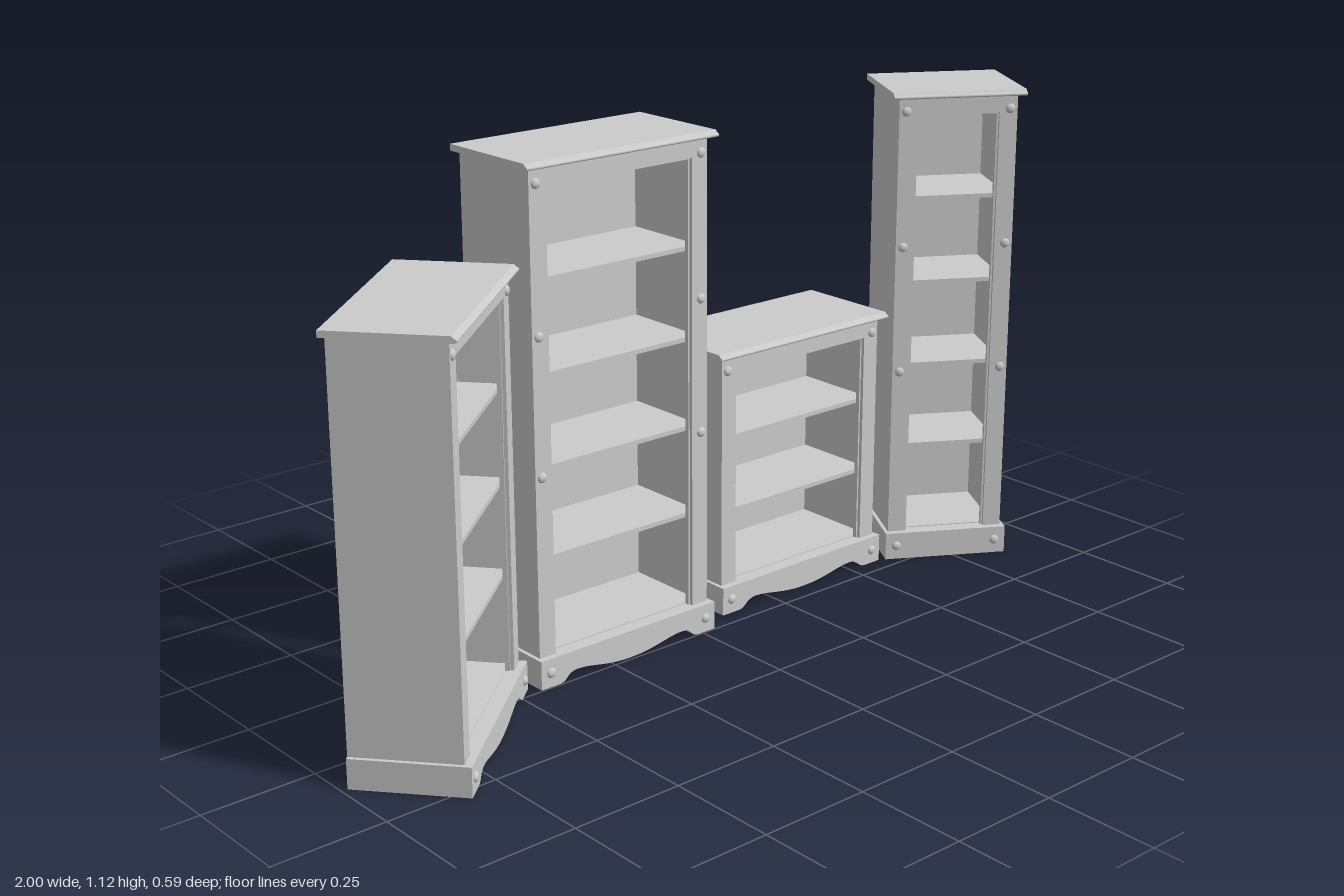
import * as THREE from 'three';

const material = new THREE.MeshStandardMaterial({ color: 0xcccccc });

function add(parent, name, geometry, x = 0, y = 0, z = 0) {
  const mesh = new THREE.Mesh(geometry, material);
  mesh.name = name;
  mesh.position.set(x, y, z);
  parent.add(mesh);
  return mesh;
}

// Box given by its minimum and maximum corners
function slab(parent, name, [x0, y0, z0], [x1, y1, z1]) {
  return add(parent, name, new THREE.BoxGeometry(x1 - x0, y1 - y0, z1 - z0),
    (x0 + x1) / 2, (y0 + y1) / 2, (z0 + z1) / 2);
}

const extrude = (shape, depth) =>
  new THREE.ExtrudeGeometry(shape, { depth, bevelEnabled: false, curveSegments: 8 });

// Two stiles joined by a top rail
function archShape(outer, inner, bottom, railBottom, top) {
  return new THREE.Shape([
    [-outer, bottom], [-inner, bottom], [-inner, railBottom], [inner, railBottom],
    [inner, bottom], [outer, bottom], [outer, top], [-outer, top],
  ].map(([x, y]) => new THREE.Vector2(x, y)));
}

// Plinth front, either straight or with two mirrored waves
function apronShape(half, height, wavy) {
  const s = new THREE.Shape();
  s.moveTo(-half, 0);
  if (wavy) {
    const start = half - 0.05, peak = half * 0.6;
    s.lineTo(-start, 0);
    s.bezierCurveTo(-start + 0.02, 0.002, -peak - 0.03, 0.021, -peak, 0.021);
    s.bezierCurveTo(-peak + 0.04, 0.021, -0.07, 0.003, 0, 0.003);
    s.bezierCurveTo(0.07, 0.003, peak - 0.04, 0.021, peak, 0.021);
    s.bezierCurveTo(peak + 0.03, 0.021, start - 0.02, 0.002, start, 0);
  }
  s.lineTo(half, 0);
  s.lineTo(half, height);
  s.lineTo(-half, height);
  return s;
}

const BACK = -0.12, FRONT = 0.11, BASE_FRONT = 0.126, TOP_EDGE = 0.129;
const BASE_H = 0.065, TOP_T = 0.014, WALL = 0.014, FRAME = 0.018, STILE = 0.042;

function bookcase({ name, width, height, shelves, knobs, wavy, position, angle }) {
  const g = new THREE.Group();
  g.name = name;
  const body = width / 2 - 0.0165, base = width / 2 - 0.008;
  const inner = body - STILE, top = height - TOP_T, opening = height - 0.053;

  // Carcass
  for (const s of [-1, 1]) {
    add(g, 'sidePanel', new THREE.BoxGeometry(WALL, top, FRONT - FRAME - BACK),
      s * (body - WALL / 2), top / 2, (FRONT - FRAME + BACK) / 2);
    add(g, 'plinthSide', new THREE.BoxGeometry(base - body, BASE_H, FRONT - BACK),
      s * (base + body) / 2, BASE_H / 2, (FRONT + BACK) / 2);
  }
  slab(g, 'backPanel', [-body + WALL, 0, BACK], [body - WALL, top, BACK + 0.01]);
  slab(g, 'bottomBoard', [-body + WALL, 0.05, BACK + 0.01], [body - WALL, BASE_H + 0.002, FRONT - FRAME]);
  slab(g, 'sill', [-body, 0.05, FRONT - FRAME], [body, BASE_H, FRONT]);
  slab(g, 'ceiling', [-body + WALL, top - 0.012, BACK + 0.01], [body - WALL, top, FRONT - FRAME]);

  // Face frame with a recessed bead round the opening
  add(g, 'faceFrame', extrude(archShape(body, inner, BASE_H, opening, top), FRAME), 0, 0, FRONT - FRAME);
  add(g, 'frameBead', extrude(archShape(inner, inner - 0.004, BASE_H, opening - 0.004, opening), 0.01),
    0, 0, FRONT - FRAME);

  // Plinth front
  add(g, 'apron', extrude(apronShape(base, BASE_H, wavy), BASE_FRONT - FRONT), 0, 0, FRONT);

  // Shelves
  for (const y of shelves) {
    slab(g, 'shelf', [-body + WALL, y - 0.005, BACK + 0.01], [body - WALL, y + 0.005, FRONT - FRAME]);
  }

  // Top with a stepped, rounded nose, swept along its width
  const nose = new THREE.Shape();
  nose.moveTo(-TOP_EDGE, 0);
  nose.lineTo(TOP_EDGE - 0.006, 0);
  nose.quadraticCurveTo(TOP_EDGE, 0, TOP_EDGE, 0.004);
  nose.quadraticCurveTo(TOP_EDGE, 0.008, TOP_EDGE - 0.006, 0.009);
  nose.lineTo(TOP_EDGE - 0.01, TOP_T);
  nose.lineTo(-TOP_EDGE, TOP_T);
  const topGeometry = extrude(nose, width);
  topGeometry.rotateY(-Math.PI / 2);
  add(g, 'top', topGeometry, width / 2, top, 0);

  // Round studs on the stiles and the plinth
  const stud = new THREE.SphereGeometry(0.011, 16, 10);
  stud.scale(1, 1, 0.6);
  for (const s of [-1, 1]) {
    for (const y of [height - 0.045, ...knobs]) add(g, 'stileStud', stud, s * (body - 0.017), y, FRONT);
    add(g, 'plinthStud', stud, s * (base - 0.026), 0.033, BASE_FRONT);
  }

  g.position.set(position[0], 0, position[1]);
  g.rotation.y = THREE.MathUtils.degToRad(angle);
  return g;
}

export function createModel() {
  const model = new THREE.Group();
  model.name = 'bookcases';
  const tall = { height: 1.125, shelves: [0.275, 0.475, 0.675, 0.875], knobs: [0.765, 0.465] };
  const cases = [
    { name: 'mediumBookcase', width: 0.495, height: 0.92, shelves: [0.275, 0.475, 0.675], knobs: [],
      wavy: true, position: [-0.727, 0.031], angle: 40.5 },
    { ...tall, name: 'tallWideBookcase', width: 0.497, wavy: true, position: [-0.205, -0.129], angle: 0 },
    { name: 'lowBookcase', width: 0.513, height: 0.615, shelves: [0.23, 0.405], knobs: [],
      wavy: true, position: [0.345, -0.168], angle: 0 },
    { ...tall, name: 'tallNarrowBookcase', width: 0.31, wavy: false, position: [0.799, -0.066], angle: -31 },
  ];
  for (const c of cases) model.add(bookcase(c));
  return model;
}
